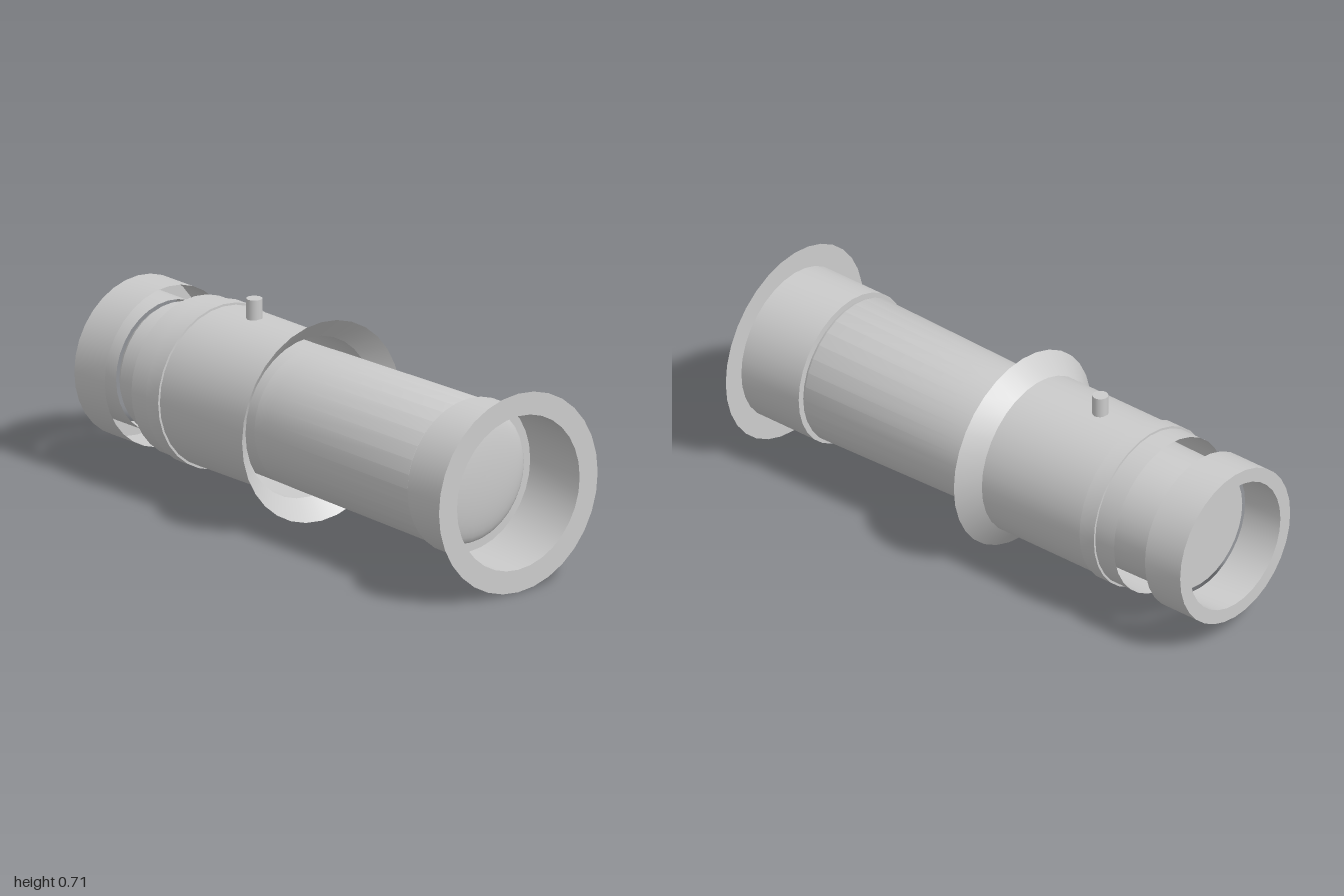
import * as THREE from 'three';
import { toCreasedNormals } from 'three/addons/utils/BufferGeometryUtils.js';

const AXIS_Y = 0.357;
const SIDES = 32;

export function createModel() {
  const model = new THREE.Group();
  const material = new THREE.MeshStandardMaterial({ color: 0xcccccc, side: THREE.DoubleSide });

  // Turned part: profile is a list of [x along the axis, radius], running towards +x on the outside
  function turned(name, profile, crease = 0.5) {
    const points = profile.map(([x, r]) => new THREE.Vector2(r, x));
    const geometry = toCreasedNormals(new THREE.LatheGeometry(points, SIDES), crease);
    geometry.rotateZ(-Math.PI / 2);
    geometry.translate(0, AXIS_Y, 0);
    const mesh = new THREE.Mesh(geometry, material);
    mesh.name = name;
    model.add(mesh);
  }

  // Eyepiece: cup with a bored end face, open towards the barrel
  turned('eyepiece', [[-0.84, 0.235], [-1, 0.235], [-1, 0.286], [-0.84, 0.286]]);

  // Inner draw tube with a chamfered, closed end
  turned('drawTube', [[-0.84, 0], [-0.84, 0.22], [-0.82, 0.233], [-0.7, 0.236], [-0.1, 0.246]]);

  // Outer sleeve, open at the rear, flaring into a thin cone at the front
  turned('sleeve', [[-0.7, 0.286], [-0.1, 0.286], [-0.035, 0.357]]);
  turned('sleeveBand', [[-0.615, 0.286], [-0.615, 0.294], [-0.55, 0.294], [-0.55, 0.286]]);

  // Slightly tapered main barrel with a rolled front lip
  turned('barrel', [[-0.1, 0.246], [-0.035, 0.248], [0.725, 0.263], [0.735, 0.258], [0.74, 0.244]]);

  // Front hood and its flat end flange
  turned('hood', [[0.74, 0.244], [0.74, 0.276], [1, 0.276]]);
  turned('hoodFlange', [[1, 0.276], [1, 0.357]]);
  turned('lipRing', [[0.74, 0.265], [0.743, 0.265], [0.743, 0.244]]);

  // Domed front lens
  const dome = [];
  for (let i = 0; i <= 10; i++) {
    const a = (i / 10) * Math.PI / 2;
    dome.push([0.74 + 0.05 * Math.sin(a), 0.244 * Math.cos(a)]);
  }
  turned('frontLens', dome, 1.2);

  // Small adjustment knob on top of the sleeve
  const knob = new THREE.Mesh(new THREE.CylinderGeometry(0.028, 0.028, 0.08, 16), material);
  knob.name = 'knob';
  knob.position.set(-0.388, 0.673, 0);
  model.add(knob);

  return model;
}
